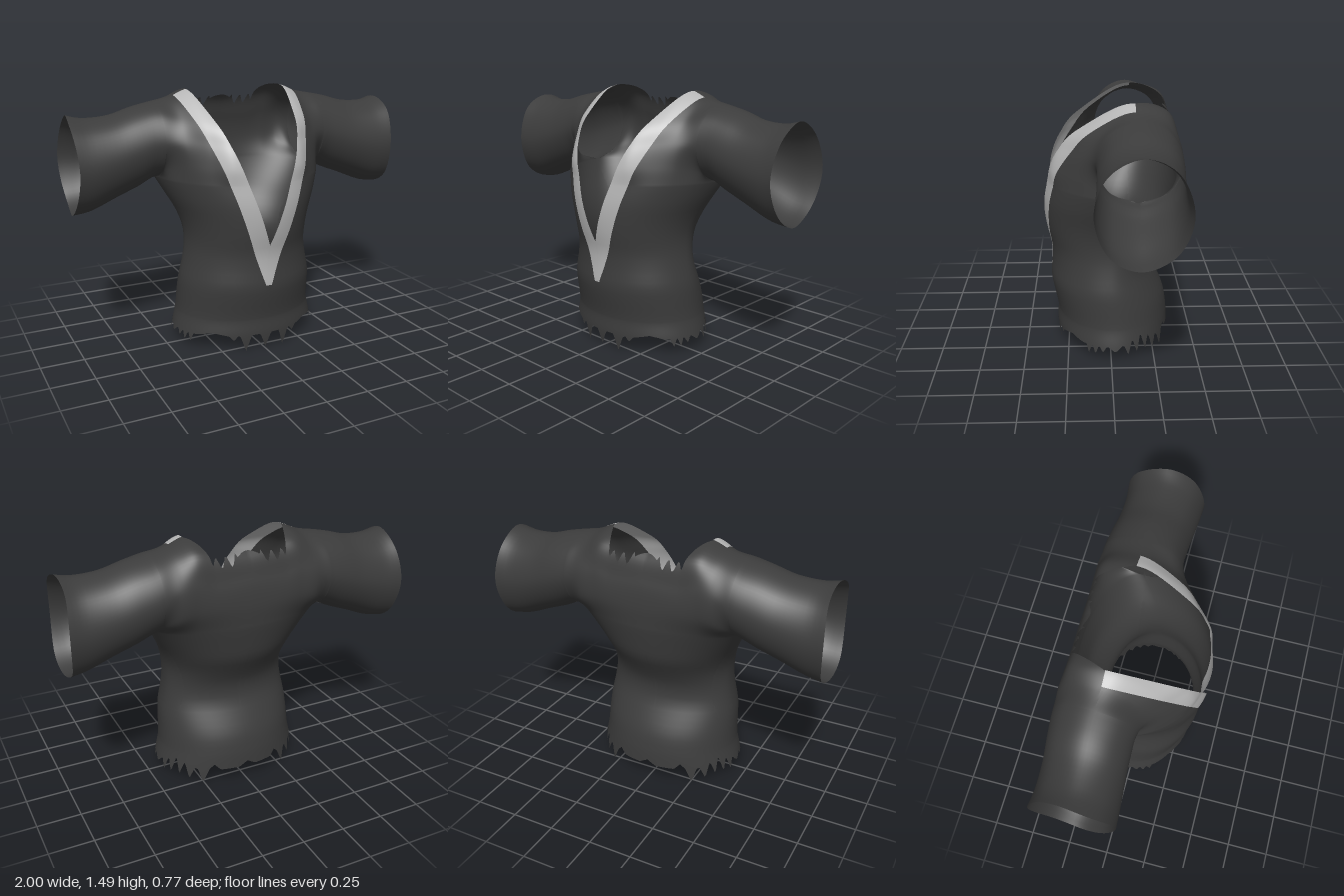
import * as THREE from 'three';

// Smooth interpolation through rows [key, [values]]
function spline(rows, k) {
  let i = 0;
  while (i < rows.length - 2 && k > rows[i + 1][0]) i++;
  const r = (n) => rows[Math.min(Math.max(n, 0), rows.length - 1)];
  const [p, a, b, q] = [r(i - 1), r(i), r(i + 1), r(i + 2)];
  const h = b[0] - a[0], t = (k - a[0]) / h;
  return a[1].map((v, n) => {
    const m0 = ((b[1][n] - p[1][n]) / (b[0] - p[0])) * h;
    const m1 = ((q[1][n] - v) / (q[0] - a[0])) * h;
    const t2 = t * t, t3 = t2 * t;
    return (2 * t3 - 3 * t2 + 1) * v + (t3 - 2 * t2 + t) * m0 + (3 * t2 - 2 * t3) * b[1][n] + (t3 - t2) * m1;
  });
}

// Trunk sections: height, [half width, front z, back z, z of the side]
const TRUNK = [
  [0, [0.46, 0.31, -0.355, -0.02]],
  [0.1, [0.44, 0.318, -0.352, -0.02]],
  [0.2, [0.418, 0.315, -0.345, -0.02]],
  [0.3, [0.412, 0.335, -0.325, -0.01]],
  [0.4, [0.405, 0.352, -0.28, 0]],
  [0.5, [0.385, 0.345, -0.235, 0]],
  [0.6, [0.37, 0.347, -0.235, 0]],
  [0.7, [0.372, 0.37, -0.28, 0]],
  [0.8, [0.4, 0.385, -0.335, -0.03]],
  [0.9, [0.45, 0.387, -0.36, -0.08]],
  [1.0, [0.5, 0.375, -0.38, -0.145]],
];
function trunkPoint(y, a) {
  const [w, f, b, mid] = spline(TRUNK, y);
  const c = Math.cos(a);
  return [w * Math.sin(a), y, mid + c * (c > 0 ? f - mid : mid - b)];
}

// Closed sleeve section, from the underside round the front, top and back: z, y pairs
function ring(bottom, top, front, back) {
  const out = [];
  for (let k = 0; k <= 8; k++) {
    const a = (k * Math.PI) / 4;
    out.push((front + back) / 2 + (Math.sin(a) * (front - back)) / 2,
      (top + bottom) / 2 - (Math.cos(a) * (top - bottom)) / 2);
  }
  return out;
}

// Chest, shoulder and sleeve sections across x, front to back over the shoulder: z, y pairs
const SHOULDER = [
  [0, [0.375, 1, 0.355, 1.1, 0.3, 1.22, 0.21, 1.33, -0.08, 1.485, -0.3, 1.42, -0.365, 1.28, -0.387, 1.14, -0.38, 1]],
  [0.2, [0.33, 1, 0.33, 1.1, 0.29, 1.21, 0.2, 1.33, -0.08, 1.485, -0.3, 1.435, -0.365, 1.28, -0.385, 1.14, -0.36, 1]],
  [0.3, [0.27, 1, 0.255, 1.1, 0.215, 1.22, 0.14, 1.34, -0.08, 1.482, -0.295, 1.445, -0.365, 1.3, -0.38, 1.14, -0.33, 1]],
  [0.4, [0.165, 1, 0.155, 1.1, 0.13, 1.23, 0.05, 1.35, -0.11, 1.447, -0.275, 1.41, -0.37, 1.28, -0.37, 1.12, -0.29, 1]],
  [0.5, ring(1.0, 1.428, 0.085, -0.375)],
  [0.62, ring(0.95, 1.403, 0.08, -0.37)],
  [0.75, ring(0.9, 1.367, 0.085, -0.36)],
  [0.9, ring(0.84, 1.36, 0.095, -0.36)],
  [1, ring(0.825, 1.38, 0.1, -0.37)],
];
function shoulderArc(x, a, steps) {
  const v = spline(SHOULDER, x), pts = [];
  if (x < 0.5) {
    // meet the top of the trunk exactly
    v[0] = trunkPoint(1, a)[2];
    v[16] = trunkPoint(1, Math.PI - a)[2];
    v[1] = v[17] = 1;
  }
  let rows = [];
  for (let k = 0; k < 9; k++) rows.push([k, [v[2 * k], v[2 * k + 1]]]);
  if (x >= 0.5) rows = [[-1, rows[7][1]], ...rows, [9, rows[1][1]]];
  for (let i = 0; i <= steps; i++) {
    const [z, y] = spline(rows, (8 * i) / steps);
    // slightly uneven cuff
    const cuff = x > 0.95 ? ((x - 0.95) / 0.05) * 0.008 * (Math.sin((6 * Math.PI * i) / steps) - 1) : 0;
    pts.push([x + cuff, y, z]);
  }
  return pts;
}

// Triangles of a grid of points
function gridTriangles(at, rows, cols) {
  const out = [];
  for (let i = 0; i < rows; i++) for (let j = 0; j < cols; j++) {
    const a = at(i, j), b = at(i, j + 1), c = at(i + 1, j + 1), d = at(i + 1, j);
    out.push([a, b, c], [a, c, d]);
  }
  return out;
}

// Splits triangles where f changes sign: [positive side, negative side]
function split(tris, f) {
  const side = (sign) => tris.flatMap((t) => {
    const d = t.map((p) => sign * f(p)), poly = [];
    t.forEach((p, i) => {
      const n = (i + 1) % 3, q = t[n];
      if (d[i] >= 0) poly.push(p);
      if (d[i] * d[n] < 0) poly.push(p.map((v, k) => v + ((q[k] - v) * d[i]) / (d[i] - d[n])));
    });
    return poly.slice(2).map((p, i) => [poly[0], poly[i + 1], p]);
  });
  return [side(1), side(-1)];
}

// Torn hem: [angle from the front, half width, depth], negative depths are notches
const TEARS = [[0, 0.08, 0.085], [0.28, 0.08, 0.1], [0.45, 0.06, 0.03], [0.75, 0.25, -0.02],
  [1.12, 0.05, 0.05], [1.24, 0.05, 0.05], [1.37, 0.06, 0.035], [1.58, 0.12, 0.03],
  [2.05, 0.4, -0.05], [1.8, 0.07, 0.07], [1.96, 0.07, 0.085], [2.12, 0.07, 0.085], [2.29, 0.08, 0.08],
  [2.5, 0.08, 0.08], [2.66, 0.09, -0.035], [3.14, 0.12, -0.03]];
function hem([x, y, z]) {
  const a = Math.atan2(x / 0.43, (z + 0.02) / 0.33);
  let edge = 0.1;
  for (const [c, w, d] of TEARS) edge -= d * Math.max(0, 1 - Math.abs(a - c) / w);
  return y - edge;
}

// Torn back collar with a raised middle, running up to the shoulder
function collar([x, y, z]) {
  const saw = Math.abs((((x - 0.075) / 0.06) % 1 + 1) % 1 - 0.5) * 2;
  const edge = x < 0.075 ? 1.42 - 5 * x * x : 1.35 + 0.07 * saw;
  return Math.max(x - 0.235 - 0.4 * (z + 0.3), edge - y);
}

export function createModel() {
  const N = 72, STEPS = 64, S = 16;
  // trunk, hem to armpit, with finer rows near the hem
  const heights = [];
  for (let i = 0; i <= 16; i++) heights.push(0.0125 * i);
  for (let i = 1; i <= 20; i++) heights.push(0.2 + 0.04 * i);
  heights[heights.length - 1] = 1;
  const trunkGrid = heights.map((y) =>
    Array.from({ length: 2 * N + 1 }, (_, j) => trunkPoint(y, (j * Math.PI) / (2 * N))));
  const trunk = split(gridTriangles((i, j) => trunkGrid[i][j], heights.length - 1, 2 * N), hem)[0];

  // chest and shoulder, then sleeve
  const chestArcs = Array.from({ length: N + 1 }, (_, j) => {
    const a = (j * Math.PI) / (2 * N);
    return shoulderArc(j === N ? 0.5 : 0.5 * Math.sin(a), a, STEPS);
  });
  const sleeveArcs = Array.from({ length: S + 1 }, (_, j) => shoulderArc(0.5 + (0.5 * j) / S, 0, STEPS));
  const chest = gridTriangles((i, j) => chestArcs[j][i], STEPS, N);
  const sleeve = gridTriangles((i, j) => sleeveArcs[j][i], STEPS, S);

  // cut the V neck and its blunt-tipped trim from the front, and the collar from the back
  const [front, back] = split([...trunk, ...chest], (p) => p[2] + 0.13);
  const underNeck = split(front, ([x, y]) => 0.65 + 2.8 * x - y)[0];
  const [body, trim] = split(underNeck, ([x, y]) => 0.41 + 2.9 * Math.max(0, x - 0.018) - y);
  const torso = [...body, ...split(back, collar)[0]];

  const mirror = (tris) => tris.map(([a, b, c]) => [a, c, b].map(([x, y, z]) => [-x, y, z]));
  const cloth = new THREE.MeshStandardMaterial({ color: 0x3c3c3c, side: THREE.DoubleSide });
  cloth.name = 'dark cloth';
  const band = new THREE.MeshStandardMaterial({ color: 0xb6b6b6, side: THREE.DoubleSide });
  band.name = 'light trim';
  const parts = [
    ['torso', [...torso, ...mirror(torso)], cloth],
    ['leftSleeve', sleeve, cloth],
    ['rightSleeve', mirror(sleeve), cloth],
    ['neckTrim', [...trim, ...mirror(trim)], band],
  ];

  // smooth normals shared across all parts
  const normals = new Map();
  const key = (p) => p.map((v) => Math.round(v * 1e4)).join();
  const tri = new THREE.Triangle(), n = new THREE.Vector3();
  for (const [, tris] of parts) for (const t of tris) {
    tri.a.fromArray(t[0]); tri.b.fromArray(t[1]); tri.c.fromArray(t[2]);
    tri.getNormal(n).multiplyScalar(tri.getArea());
    for (const p of t) {
      const k = key(p);
      if (!normals.has(k)) normals.set(k, new THREE.Vector3());
      normals.get(k).add(n);
    }
  }

  const group = new THREE.Group();
  group.name = 'tornShirt';
  for (const [name, tris, material] of parts) {
    const points = tris.flat();
    const geo = new THREE.BufferGeometry();
    geo.setAttribute('position', new THREE.Float32BufferAttribute(points.flat(), 3));
    geo.setAttribute('normal', new THREE.Float32BufferAttribute(
      points.flatMap((p) => normals.get(key(p)).clone().normalize().toArray()), 3));
    const mesh = new THREE.Mesh(geo, material);
    mesh.name = name;
    group.add(mesh);
  }
  return group;
}
